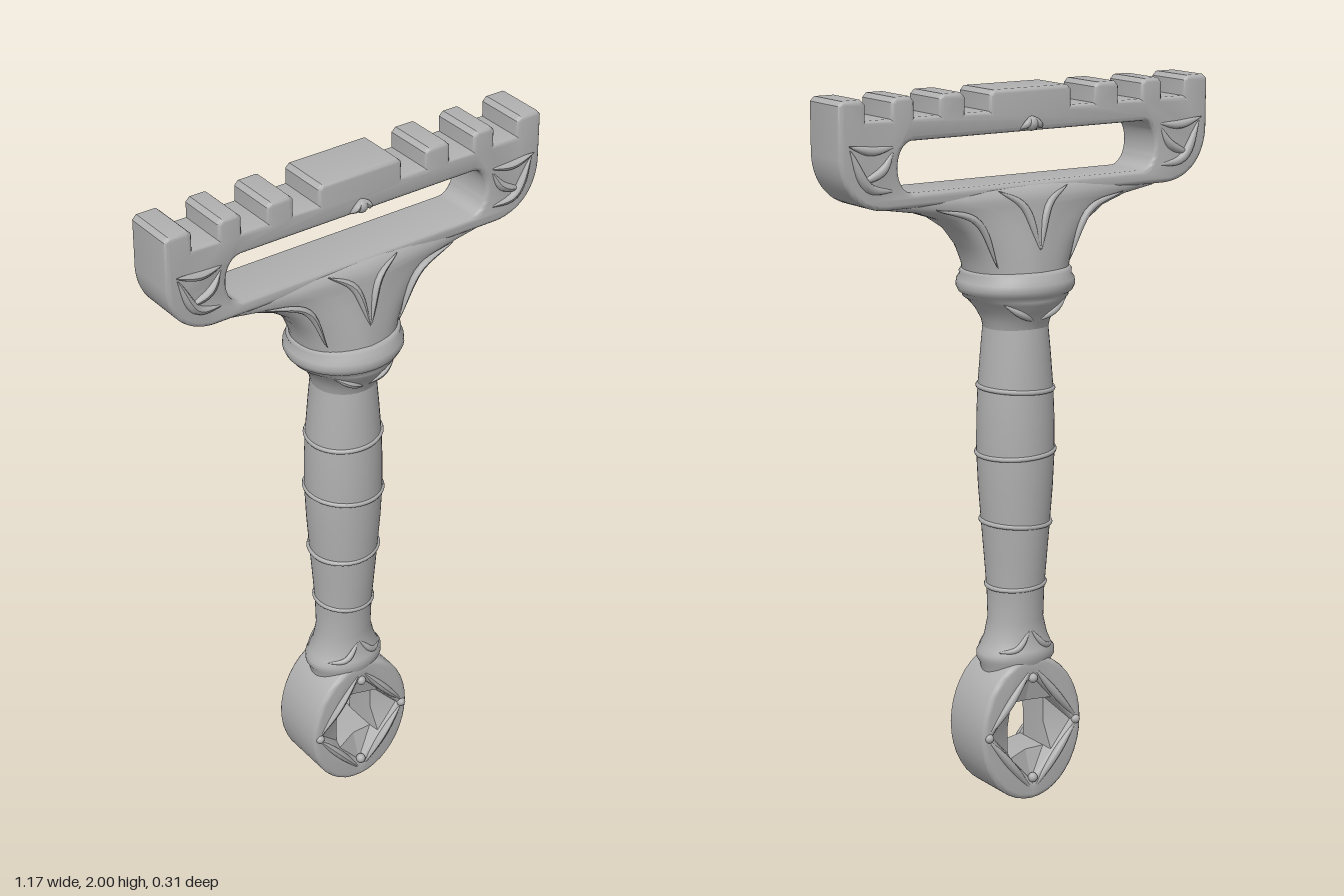
import * as THREE from 'three';
import { toCreasedNormals } from 'three/addons/utils/BufferGeometryUtils.js';

// Skin closed rings of points, given in order along the part
function loft(rings) {
  const n = rings[0].length, pos = [], index = [];
  rings.forEach(r => r.forEach(p => pos.push(...p)));
  for (let i = 0; i < rings.length - 1; i++) {
    for (let j = 0; j < n; j++) {
      const a = i * n + j, b = i * n + (j + 1) % n, c = a + n, d = b + n;
      index.push(a, c, b, b, c, d);
    }
  }
  const g = new THREE.BufferGeometry();
  g.setAttribute('position', new THREE.Float32BufferAttribute(pos, 3));
  g.setIndex(index);
  g.computeVertexNormals();
  return g;
}

// Horizontal ring: half width, half depth at the middle and at the ends, corner power
function ring([y, rx, zMid, zEnd = zMid, power = 1], sides = 48) {
  return Array.from({ length: sides }, (_, j) => {
    const a = j / sides * Math.PI * 2, c = Math.cos(a), s = Math.sin(a);
    const x = Math.sign(c) * Math.abs(c) ** power;
    const depth = zEnd + (zMid - zEnd) * (1 - Math.abs(x)) ** 2;
    return [rx * x, y, Math.sign(s) * Math.abs(s) ** power * depth];
  });
}

// Plate along z with rounded edges, centred on z = 0
function plate(shape, depth, bevel) {
  const g = new THREE.ExtrudeGeometry(shape, {
    depth: depth - 2 * bevel, bevelThickness: bevel, bevelSize: bevel,
    bevelOffset: -bevel, bevelSegments: 3, curveSegments: 20,
  });
  g.translate(0, 0, bevel - depth / 2);
  return toCreasedNormals(g, 0.6);
}

// Carved ridge, thickest in the middle and pointed at both ends
function ridge(points, radius) {
  const curve = new THREE.CatmullRomCurve3(points.map(p => new THREE.Vector3(...p)));
  const seg = 14, sides = 8, g = new THREE.TubeGeometry(curve, seg, radius, sides);
  const pos = g.attributes.position, v = new THREE.Vector3();
  for (let i = 0; i <= seg; i++) {
    const mid = curve.getPointAt(i / seg), k = 0.1 + 0.9 * Math.sin(Math.PI * i / seg);
    for (let j = 0; j <= sides; j++) {
      const id = i * (sides + 1) + j;
      v.fromBufferAttribute(pos, id).sub(mid).multiplyScalar(k).add(mid);
      pos.setXYZ(id, v.x, v.y, v.z);
    }
  }
  g.computeVertexNormals();
  return g;
}

export function createModel() {
  const model = new THREE.Group();
  const grey = new THREE.MeshStandardMaterial({ color: 0xb0b0b0 });
  grey.name = 'grey metal';
  const add = (name, geometry) => {
    const m = new THREE.Mesh(geometry, grey);
    m.name = name;
    model.add(m);
    return m;
  };

  // Toothed head with a long slot
  const head = new THREE.Shape();
  head.moveTo(-0.45, 1.71);
  head.lineTo(0.45, 1.71);
  head.bezierCurveTo(0.53, 1.715, 0.58, 1.77, 0.585, 1.85);
  const teeth = [[0.585, 0.505], [0.43, 0.36], [0.285, 0.205], [0.13, -0.13],
    [-0.205, -0.285], [-0.36, -0.43], [-0.505, -0.585]];
  teeth.forEach(([a, b], i) => {
    if (i > 0) head.lineTo(a, 1.945);
    head.lineTo(a, 1.988);
    head.lineTo(a - 0.012, 2);
    head.lineTo(b + 0.012, 2);
    head.lineTo(b, 1.988);
    if (i < 6) head.lineTo(b, 1.945);
  });
  head.lineTo(-0.585, 1.85);
  head.bezierCurveTo(-0.58, 1.77, -0.53, 1.715, -0.45, 1.71);
  const slot = new THREE.Path();
  slot.moveTo(-0.365, 1.75);
  slot.bezierCurveTo(-0.425, 1.755, -0.425, 1.88, -0.365, 1.885);
  slot.lineTo(0.365, 1.885);
  slot.bezierCurveTo(0.425, 1.88, 0.425, 1.755, 0.365, 1.75);
  slot.lineTo(-0.365, 1.75);
  head.holes.push(slot);
  add('toothedHead', plate(head, 0.156, 0.012));

  // Flared throat spreading into the head
  add('flaredThroat', loft([
    [1.47, 0.142, 0.132, 0.132, 1], [1.53, 0.152, 0.128, 0.12, 0.88],
    [1.58, 0.172, 0.123, 0.108, 0.75], [1.63, 0.212, 0.117, 0.092, 0.62],
    [1.665, 0.265, 0.112, 0.082, 0.52], [1.69, 0.34, 0.107, 0.077, 0.45],
    [1.705, 0.43, 0.103, 0.076, 0.4], [1.72, 0.47, 0.098, 0.074, 0.4],
    [1.737, 0.45, 0.086, 0.068, 0.4], [1.748, 0.38, 0.066, 0.06, 0.4],
    [1.748, 0.001, 0.001],
  ].map(r => ring(r))));

  // Collar with a cupped underside
  add('collar', loft([
    [1.34, 0.086, 0.09], [1.37, 0.093, 0.098], [1.4, 0.108, 0.118], [1.425, 0.13, 0.136],
    [1.436, 0.146, 0.14], [1.444, 0.148, 0.14], [1.45, 0.158, 0.148], [1.465, 0.165, 0.156],
    [1.482, 0.163, 0.154], [1.495, 0.154, 0.146], [1.505, 0.158, 0.142],
    [1.512, 0.152, 0.136], [1.516, 0.135, 0.12],
  ].map(r => ring(r))));

  // Swelling grip and the neck above the eye
  add('grip', loft([
    [0.36, 0.1, 0.08], [0.395, 0.105, 0.088], [0.41, 0.115, 0.094], [0.428, 0.114, 0.096],
    [0.44, 0.104, 0.092], [0.47, 0.092, 0.08], [0.52, 0.079, 0.076], [0.6, 0.08, 0.081],
    [0.7, 0.087, 0.09], [0.8, 0.095, 0.098], [0.9, 0.103, 0.104], [1, 0.108, 0.108],
    [1.1, 0.107, 0.107], [1.18, 0.104, 0.104], [1.28, 0.095, 0.099], [1.36, 0.087, 0.093],
  ].map(r => ring(r))));

  // Thin bands round the grip
  [[0.62, 0.081], [0.8, 0.096], [1, 0.107], [1.18, 0.103]].forEach(([y, r], i) => {
    const g = new THREE.TorusGeometry(r, 0.007, 8, 40);
    g.rotateX(Math.PI / 2);
    const band = add('gripBand', g);
    band.position.y = y;
    band.rotation.z = i % 2 ? 0.05 : -0.05;
  });

  // Oval eye with a diamond opening
  const cy = 0.212;
  const diamond = [[0.132, 0], [0.068, 0.078], [0, 0.155], [-0.068, 0.078],
    [-0.132, 0], [-0.068, -0.078], [0, -0.155], [0.068, -0.078]];
  const square = [[1, 0], [1, 1], [0, 1], [-1, 1], [-1, 0], [-1, -1], [0, -1], [1, -1]]
    .map(([x, y]) => [x * 0.06, y * 0.073]);
  const eye = new THREE.Shape();
  eye.absellipse(0, cy, 0.165, 0.21, 0, Math.PI * 2);
  eye.holes.push(new THREE.Path(diamond.map(([x, y]) => new THREE.Vector2(x, y + cy))));
  add('eyeRim', plate(eye, 0.18, 0.014));

  // Faceted socket narrowing to a square through-hole
  const at = (pts, z) => pts.map(([x, y]) => [x, y + cy, z]);
  add('squareSocket', toCreasedNormals(loft([
    at(diamond, -0.078), at(square, -0.05), at(square, 0.05), at(diamond, 0.078),
  ]), 0.3));

  // Carved relief, repeated on front and back
  for (const f of [1, -1]) {
    for (const s of [1, -1]) {
      // Pointed frame round the socket
      for (const v of [1, -1]) {
        add('socketRidge', ridge([[s * 0.152, cy, f * 0.086], [s * 0.083, cy + v * 0.082, f * 0.09],
          [0, cy + v * 0.185, f * 0.086]], 0.012));
      }
      const stud = add('sideStud', new THREE.SphereGeometry(0.013, 10, 8));
      stud.position.set(s * 0.145, cy, f * 0.088);

      // Leaf folds on the throat
      add('throatLeaf', ridge([[s * 0.11, 1.735, f * 0.086], [s * 0.04, 1.69, f * 0.102],
        [0, 1.57, f * 0.123]], 0.011));
      add('throatFold', ridge([[s * 0.3, 1.7, f * 0.078], [s * 0.18, 1.66, f * 0.09],
        [s * 0.115, 1.53, f * 0.09]], 0.01));

      // Scrolls in the head corners
      add('cornerScroll', ridge([[s * 0.42, 1.76, f * 0.075], [s * 0.5, 1.775, f * 0.077],
        [s * 0.555, 1.875, f * 0.08]], 0.014));
      add('cornerScroll', ridge([[s * 0.425, 1.865, f * 0.076], [s * 0.46, 1.815, f * 0.077],
        [s * 0.53, 1.785, f * 0.076]], 0.013));
      add('cornerScroll', ridge([[s * 0.42, 1.875, f * 0.076], [s * 0.49, 1.868, f * 0.078],
        [s * 0.56, 1.885, f * 0.084]], 0.012));

      // Folds under the collar and on the neck
      add('collarFold', ridge([[s * 0.1, 1.43, f * 0.095], [s * 0.05, 1.4, f * 0.108],
        [0, 1.375, f * 0.098]], 0.01));
      add('neckFold', ridge([[s * 0.09, 0.44, f * 0.05], [s * 0.045, 0.45, f * 0.078],
        [0, 0.5, f * 0.076]], 0.009));

      // Small petals at the middle of the top rail
      add('railPetal', ridge([[s * 0.035, 1.892, f * 0.076], [s * 0.018, 1.905, f * 0.084],
        [0, 1.925, f * 0.078]], 0.01));
    }
    for (const y of [cy + 0.15, cy - 0.145]) {
      const stud = add('endStud', new THREE.SphereGeometry(0.014, 10, 8));
      stud.position.set(0, y, f * 0.088);
    }
    const bud = add('railBud', new THREE.SphereGeometry(0.02, 12, 8));
    bud.position.set(0, 1.905, f * 0.076);
  }
  return model;
}
